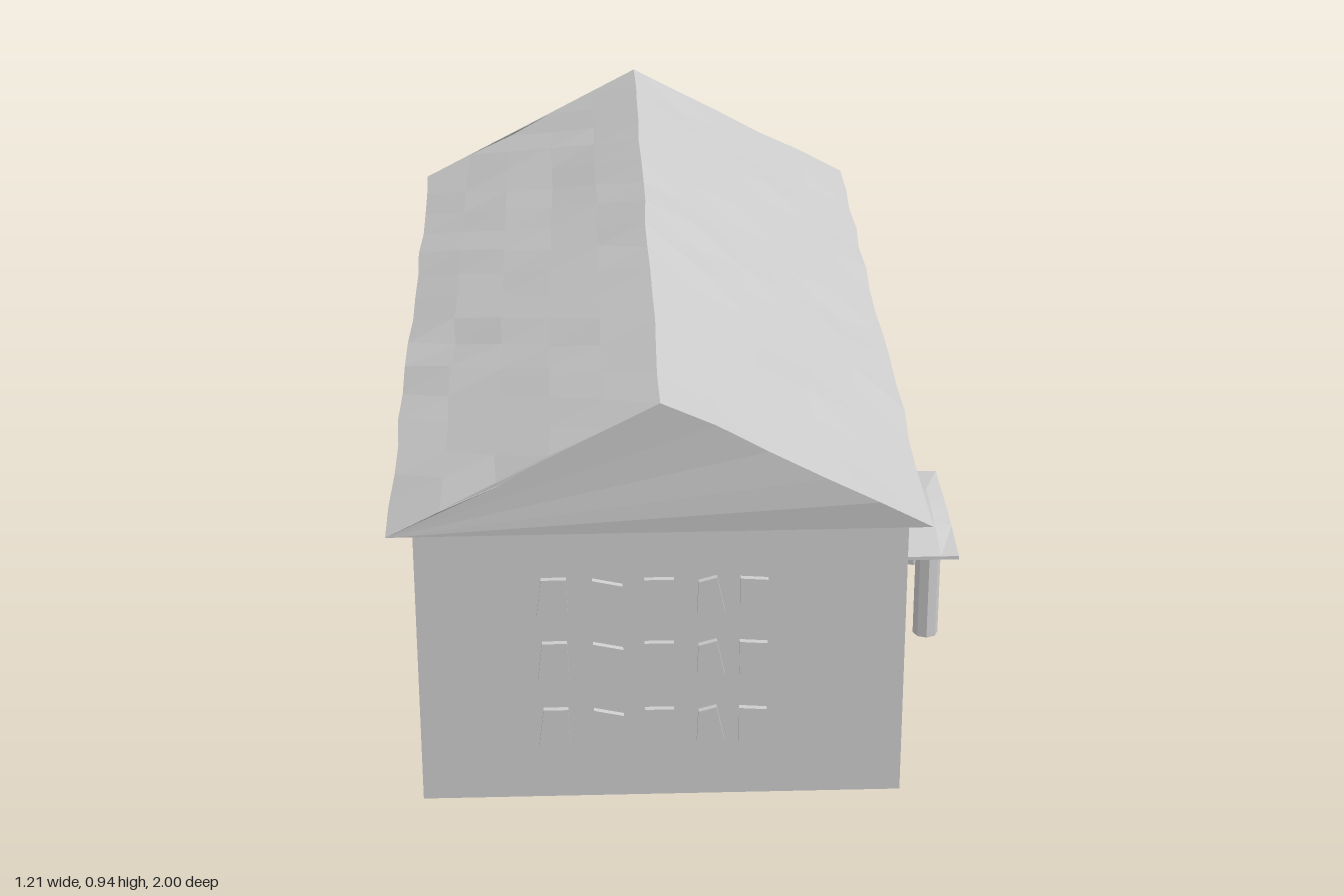
import * as THREE from 'three';

const material = new THREE.MeshStandardMaterial({ color: 0xcccccc, flatShading: true });

function addMesh(parent, name, geometry, x = 0, y = 0, z = 0) {
  const mesh = new THREE.Mesh(geometry, material);
  mesh.name = name;
  mesh.position.set(x, y, z);
  parent.add(mesh);
  return mesh;
}

function extrude(points, depth, steps = 1) {
  const shape = new THREE.Shape(points.map(([x, y]) => new THREE.Vector2(x, y)));
  return new THREE.ExtrudeGeometry(shape, { depth, steps, bevelEnabled: false });
}

// Small seeded generator, returns -1..1
function makeJitter(seed) {
  return () => {
    seed = (seed * 16807) % 2147483647;
    return (seed / 2147483647) * 2 - 1;
  };
}

// Crooked window outlines, one row, centred on x = 0
const windowOutlines = [
  [[-0.227, 0], [-0.165, 0], [-0.168, 0.084], [-0.217, 0.084]],
  [[-0.11, 0.006], [-0.058, 0.009], [-0.058, 0.068], [-0.117, 0.081]],
  [[-0.007, 0.003], [0.045, 0.003], [0.042, 0.081], [-0.016, 0.081]],
  [[0.087, 0.006], [0.142, 0.006], [0.126, 0.084], [0.09, 0.074]],
  [[0.171, 0.003], [0.226, 0.006], [0.226, 0.077], [0.171, 0.081]],
];

// A block of windows standing out of one wall
function windowBlock(name, rowHeights, depth, x, z, turn) {
  const group = new THREE.Group();
  group.name = name;
  for (const y of rowHeights) {
    for (const outline of windowOutlines) {
      addMesh(group, 'window', extrude(outline, depth + 0.005), 0, y, -0.005);
    }
  }
  group.position.set(x, 0, z);
  group.rotation.y = turn;
  return group;
}

// Solid gable roof: uneven cross-sections joined along z, closed at both ends
function roofGeometry() {
  const jitter = makeJitter(4711);
  const cols = 10, rows = 15, ring = cols + 1;
  const positions = [], index = [];
  for (let j = 0; j <= rows; j++) {
    for (let i = 0; i <= cols; i++) {
      const onEave = i === 0 || i === cols;
      const t = i <= 5 ? i / 5 : (cols - i) / 5;
      const x = i <= 5 ? -0.6 + 0.52 * t : 0.442 - 0.522 * t;
      const y = 0.662 + 0.273 * t;
      positions.push(
        x + jitter() * 0.004,
        y + jitter() * (onEave ? 0.003 : 0.005),
        -0.995 + (1.99 * j) / rows + jitter() * 0.005,
      );
    }
  }
  for (let j = 0; j < rows; j++) {
    for (let i = 0; i < ring; i++) {
      const a = j * ring + i, b = j * ring + ((i + 1) % ring);
      index.push(a, a + ring, b + ring, a, b + ring, b);
    }
  }
  const last = rows * ring;
  for (let i = 1; i < cols; i++) {
    index.push(0, i, i + 1, last, last + i + 1, last + i);
  }
  const geometry = new THREE.BufferGeometry();
  geometry.setAttribute('position', new THREE.Float32BufferAttribute(positions, 3));
  geometry.setIndex(index);
  const flat = geometry.toNonIndexed();
  flat.computeVertexNormals();
  return flat;
}

// Shallow arched canopy whose outer edge slopes down
function canopyGeometry() {
  const profile = [
    [-0.215, 0.208], [0.215, 0.208], [0.215, 0.216], [0.08, 0.235],
    [0, 0.24], [-0.08, 0.236], [-0.215, 0.216],
  ];
  const geometry = extrude(profile, 0.197, 5);
  const pos = geometry.attributes.position;
  for (let i = 0; i < pos.count; i++) {
    const y = pos.getY(i);
    const keep = Math.min(1, 0.3 + (0.197 - pos.getZ(i)) / 0.055);
    if (y > 0.216) pos.setY(i, 0.216 + (y - 0.216) * keep);
  }
  geometry.computeVertexNormals();
  return geometry;
}

export function createModel() {
  const model = new THREE.Group();
  model.name = 'building';

  // Main block and roof
  addMesh(model, 'walls', new THREE.BoxGeometry(0.96, 0.637, 1.83), -0.075, 0.3485, 0);
  addMesh(model, 'roof', roofGeometry());

  // Windows on both gable ends and along the entrance side
  const rows = [0.152, 0.302, 0.443];
  const upperRows = [0.362, 0.503];
  model.add(
    windowBlock('frontWindows', rows, 0.012, -0.093, 0.915, 0),
    windowBlock('backWindows', rows, 0.012, -0.045, -0.915, Math.PI),
    windowBlock('sideWindowsFront', rows, 0.007, 0.405, 0.615, Math.PI / 2),
    windowBlock('sideWindowsMiddle', upperRows, 0.007, 0.405, 0.03, Math.PI / 2),
    windowBlock('sideWindowsRear', rows, 0.007, 0.405, -0.605, Math.PI / 2),
  );

  // Entrance: door, canopy, cross relief and two posts
  const entrance = new THREE.Group();
  entrance.name = 'entrance';
  entrance.position.set(0.405, 0, 0.05);
  model.add(entrance);

  const door = extrude([[-0.1, 0.03], [0.12, 0.03], [0.15, 0.196], [-0.12, 0.196]], 0.015);
  addMesh(entrance, 'door', door, -0.005).rotation.y = Math.PI / 2;
  addMesh(entrance, 'canopy', canopyGeometry()).rotation.y = Math.PI / 2;

  const w = 0.019, a = 0.042, l = 0.067;
  const cross = extrude([
    [-w, -l], [w, -l], [w, -w], [a, -w], [a, w], [w, w],
    [w, l], [-w, l], [-w, w], [-a, w], [-a, -w], [-w, -w],
  ], 0.018);
  addMesh(entrance, 'crossRelief', cross, 0.095, 0.228, -0.004).rotation.x = -Math.PI / 2;

  for (const [x, z] of [[0.135, 0.166], [0.145, -0.182]]) {
    addMesh(entrance, 'post', new THREE.CylinderGeometry(0.028, 0.028, 0.21, 8), x, 0.105, z);
  }
  return model;
}
